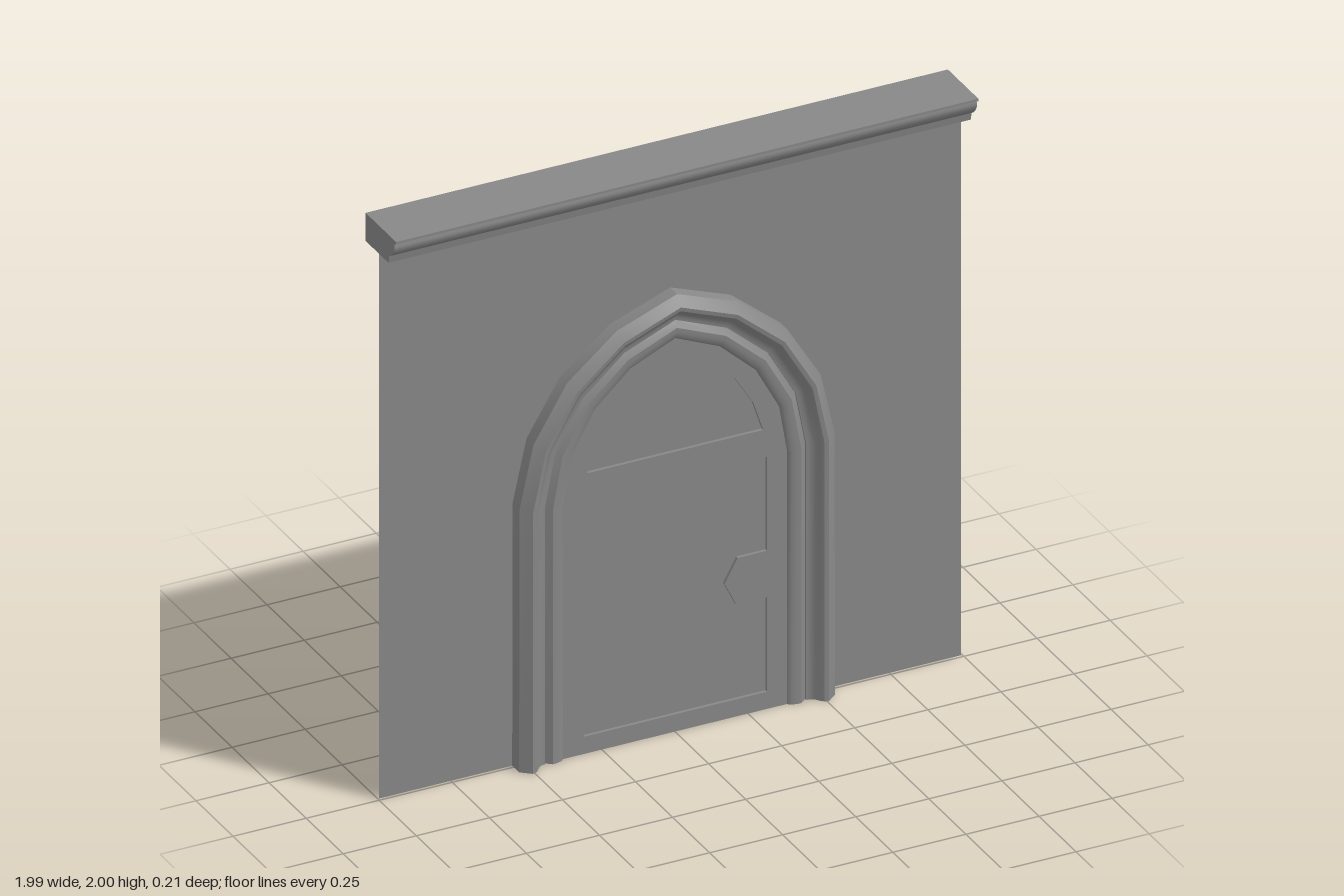
import * as THREE from 'three';
import { toCreasedNormals } from 'three/addons/utils/BufferGeometryUtils.js';

const HALF = 0.996;          // half the wall width
const WALL_Z = -0.01;
const DOOR_Z = 0.012;        // middle of the door leaf
const SPRING = 0.88;         // height where the arch starts
const CX = 0.126, R = 0.506; // arc centre offset and inner radius
const STEPS = 4;             // segments on each side of the pointed arch

const material = new THREE.MeshStandardMaterial({ color: 0x888888 });
const sheetMaterial = new THREE.MeshStandardMaterial({ color: 0x888888, side: THREE.DoubleSide });

function addMesh(group, name, geometry, mat = material) {
  const mesh = new THREE.Mesh(geometry, mat);
  mesh.name = name;
  group.add(mesh);
  return mesh;
}

// Pointed arch from the +x foot over the apex to the -x foot, moved outward by d
function archPath(d) {
  const r = R + d, start = 0.33 * d, end = Math.acos(CX / r);
  const half = [[r - CX, 0]];
  for (let i = 0; i <= STEPS; i++) {
    const a = start + ((end - start) * i) / STEPS;
    half.push([r * Math.cos(a) - CX, SPRING + r * Math.sin(a)]);
  }
  half[half.length - 1][0] = 0;
  return [...half, ...half.slice(0, -1).reverse().map(([x, y]) => [-x, y])];
}

// Sweeps a closed counter-clockwise profile of [outward offset, z] along the arch
function archMoulding(profile) {
  const rails = profile.map(([d, z]) => archPath(d).map(([x, y]) => [x, y, z]));
  const n = profile.length, last = rails[0].length - 1, pos = [];
  const tri = (...corners) => corners.forEach((c) => pos.push(...c));
  for (let j = 0; j < n; j++) {
    const p = rails[j], q = rails[(j + 1) % n];
    for (let i = 0; i < last; i++) {
      tri(p[i], p[i + 1], q[i]);
      tri(q[i], p[i + 1], q[i + 1]);
    }
  }
  // End caps at both feet
  const outline = profile.map(([d, z]) => new THREE.Vector2(d, z));
  for (const [a, b, c] of THREE.ShapeUtils.triangulateShape(outline, [])) {
    tri(rails[a][0], rails[b][0], rails[c][0]);
    tri(rails[a][last], rails[c][last], rails[b][last]);
  }
  const geometry = new THREE.BufferGeometry();
  geometry.setAttribute('position', new THREE.Float32BufferAttribute(pos, 3));
  return toCreasedNormals(geometry, 0.5);
}

const toShape = (points, Type = THREE.Shape) =>
  new Type(points.map(([x, y]) => new THREE.Vector2(x, y)));

export function createModel() {
  const group = new THREE.Group();

  // Thin wall sheet with the arched doorway cut out
  const wallOutline = toShape([
    [HALF, 0], [HALF, 1.95], [-HALF, 1.95], [-HALF, 0], ...archPath(0.03).reverse(),
  ]);
  const wall = addMesh(group, 'wall', new THREE.ShapeGeometry(wallOutline), sheetMaterial);
  wall.position.z = WALL_Z;

  // Cornice: profile in [z, y] extruded along x
  const corniceProfile = [
    [-0.1, 1.902], [0.055, 1.902], [0.06, 1.928], [0.07, 1.934], [0.084, 1.947],
    [0.094, 1.962], [0.097, 1.975], [0.094, 1.986], [0.106, 1.991], [0.106, 2], [-0.1, 2],
  ];
  const cornice = new THREE.ExtrudeGeometry(
    toShape(corniceProfile.map(([z, y]) => [-z, y])),
    { depth: 2 * HALF, bevelEnabled: false },
  );
  cornice.translate(0, 0, -HALF);
  cornice.rotateY(Math.PI / 2);
  addMesh(group, 'cornice', toCreasedNormals(cornice, 0.6));

  // Outer moulding with a cove on its inner side
  addMesh(group, 'outerArchMoulding', archMoulding([
    [0.067, -0.02], [0.16, -0.02], [0.16, 0.037], [0.127, 0.064], [0.113, 0.061],
    [0.102, 0.05], [0.092, 0.037], [0.08, 0.029], [0.067, 0.027],
  ]));

  // Inner frame, deeper at the back, rounded towards the door
  addMesh(group, 'innerArchFrame', archMoulding([
    [0, -0.034], [0.067, -0.034], [0.067, 0.02], [0.045, 0.038],
    [0.03, 0.037], [0.015, 0.033], [0.006, 0.027], [0, 0.016],
  ]));

  // Door leaf with two openings that show as recesses on both faces
  const leaf = toShape(archPath(0.005));
  leaf.holes.push(
    toShape([
      [-0.312, 0.06], [0.315, 0.06], [0.315, 0.39], [0.21, 0.39], [0.17, 0.472],
      [0.215, 0.552], [0.315, 0.552], [0.315, 0.88], [-0.312, 0.88],
    ], THREE.Path),
    toShape([
      [-0.3, 0.977], [0.302, 0.977], [0.268, 1.08], [0.205, 1.182],
      [0, 1.302], [-0.205, 1.182], [-0.265, 1.08],
    ], THREE.Path),
  );
  const door = new THREE.ExtrudeGeometry(leaf, { depth: 0.022, bevelEnabled: false });
  door.translate(0, 0, DOOR_Z - 0.011);
  addMesh(group, 'doorLeaf', door);

  // Thin panel sheet in the middle of the leaf
  const panel = new THREE.ShapeGeometry(toShape(archPath(0)));
  addMesh(group, 'doorPanels', panel, sheetMaterial).position.z = DOOR_Z;

  return group;
}
